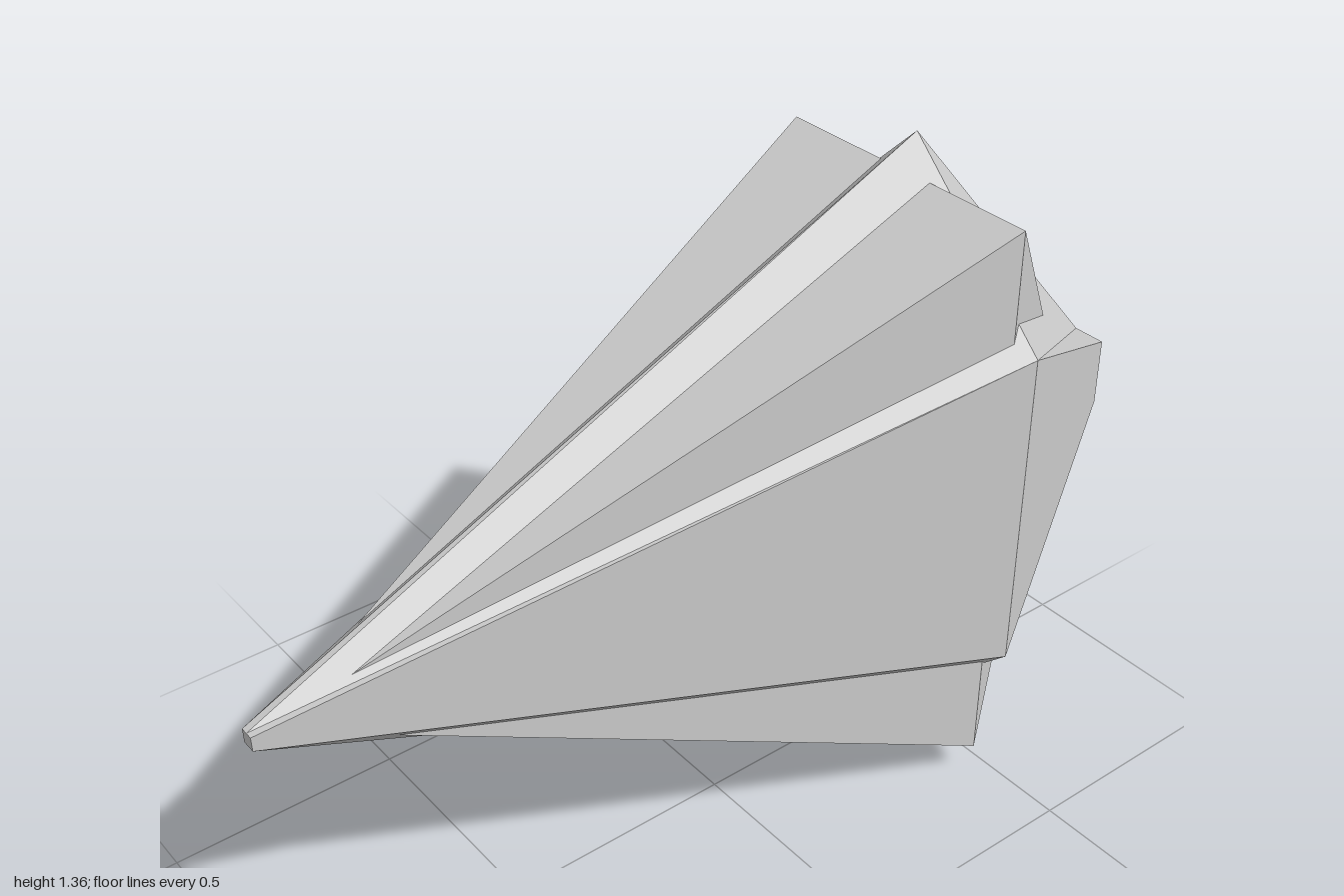
import * as THREE from 'three';

const CY = 0.683; // height of the long axis

// A ring of [y, z] offsets around the axis at x, running from the top towards +z
const ring = (x, pts) => pts.map(([y, z]) => [x, CY + y, z]);

// Crystal with a wide girdle ring, tapering to a tail ring (-x) and a nose ring (+x)
function crystal(name, tail, girdle, nose) {
  const pos = [];
  const tri = (a, b, c, flip) => pos.push(...a, ...(flip ? c : b), ...(flip ? b : c));
  const n = girdle.length;
  for (const [end, flip] of [[nose, false], [tail, true]]) {
    for (let i = 0; i < n; i++) {
      const j = (i + 1) % n;
      tri(girdle[i], girdle[j], end[i], flip);
      tri(girdle[j], end[j], end[i], flip);
    }
    // flat cap
    for (let i = 1; i < n - 1; i++) tri(end[0], end[i], end[i + 1], flip);
  }
  const geo = new THREE.BufferGeometry();
  geo.setAttribute('position', new THREE.Float32BufferAttribute(pos, 3));
  geo.computeVertexNormals();
  const mesh = new THREE.Mesh(geo, new THREE.MeshStandardMaterial({ color: 0xcccccc, flatShading: true }));
  mesh.name = name;
  return mesh;
}

// Six-sided section: ridge height, shoulder height, half width
const hexagon = (ridge, shoulder, w) => [
  [ridge, 0], [shoulder, w], [-shoulder, w], [-ridge, 0], [-shoulder, -w], [shoulder, -w],
];

// Four-sided section
const rectangle = (h, w) => [[h, w], [-h, w], [-h, -w], [h, -w]];

export function createModel() {
  const group = new THREE.Group();
  group.name = 'crystalShard';

  // Ridged main crystal
  group.add(crystal('ridgedCrystal',
    ring(-1, hexagon(0.015, 0.015, 0.015)),
    ring(0.48, hexagon(0.682, 0.351, 0.351)),
    ring(1, hexagon(0.075, 0.075, 0.075))));

  // Square-cornered crystal whose four corners break through the ridges
  group.add(crystal('squareCrystal',
    ring(-0.965, rectangle(0.002, 0.001)),
    ring(0.455, rectangle(0.608, 0.312)),
    ring(0.94, rectangle(0.002, 0.001))));

  return group;
}
